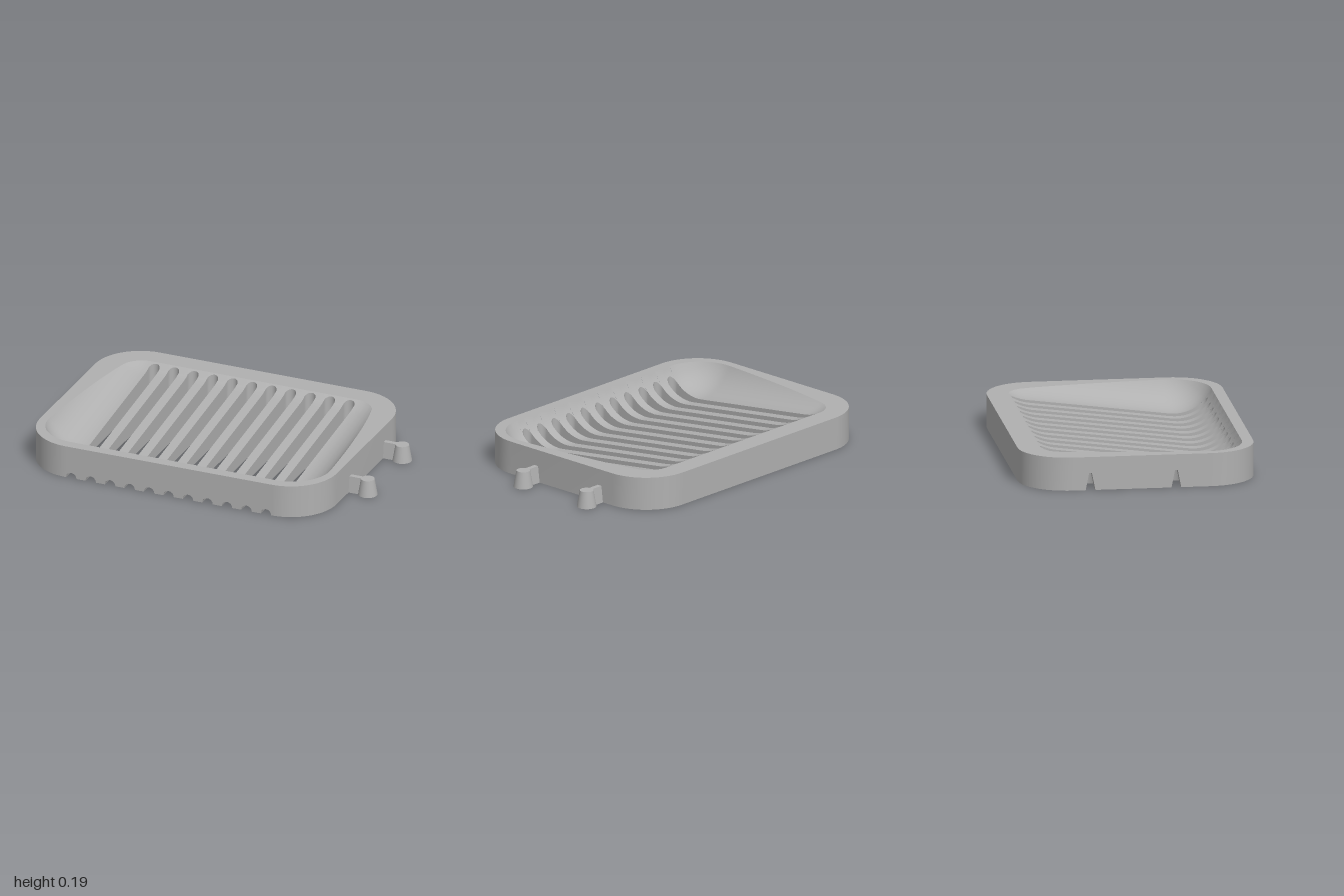
import * as THREE from 'three';
import { toCreasedNormals } from 'three/addons/utils/BufferGeometryUtils.js';

const TOP = 0.193, LEFT = -1, RIGHT = 0.835, DEPTH = 0.675, CORNER = 0.28;
const SLOT_R = 0.0325, SLOT_BACK = -0.54, SLOT_FRONT = 0.585;
const slots = Array.from({ length: 11 }, (_, i) => -0.685 + i * 0.1205);
const pegZ = [-0.295, 0.197];
const SOCKET = { x: -0.895, r: 0.06, rTop: 0.045, w: 0.028, wTop: 0.008, h: 0.1 };

// Half depth of the rounded outer outline at x
function outer(x) {
  const d = Math.max(LEFT + CORNER - x, x - (RIGHT - CORNER), 0);
  return DEPTH - CORNER + Math.sqrt(Math.max(0, CORNER * CORNER - d * d));
}

// Scooped basin: sloping flat floor with a wide round fillet on all sides
function basin(x, z) {
  const R = 0.26;
  const dx = Math.max(-0.72 - x, x - 0.555, 0);
  const dz = Math.max(-0.443 - z, z - 0.365, 0);
  const d2 = dx * dx + dz * dz;
  if (d2 >= R * R) return 1;
  return 0.05 + 0.13 * (0.375 - z) + R - Math.sqrt(R * R - d2);
}

// Where f crosses the rim height, between an inside and an outside value
function cross(f, inside, outside) {
  for (let i = 0; i < 40; i++) {
    const m = (inside + outside) / 2;
    if (f(m) < TOP) inside = m; else outside = m;
  }
  return inside;
}
const MID = 0.385;
const basinLeft = cross(x => basin(x, MID), 0, -1);
const basinRight = cross(x => basin(x, MID), 0, 0.835);
const basinBack = x => cross(z => basin(x, z), MID, -0.7);
const basinFront = x => cross(z => basin(x, z), MID, 0.7);

const bulge = (x, c) => Math.sqrt(Math.max(0, SLOT_R * SLOT_R - (x - c) ** 2));
const slotAt = x => slots.find(c => Math.abs(x - c) < SLOT_R);

// Sorted x positions that follow every curved edge
function columns() {
  const xs = [LEFT, RIGHT];
  for (let i = 0; i <= 14; i++) {
    const t = 1 - Math.cos((i / 14) * Math.PI / 2);
    xs.push(LEFT + CORNER * t, RIGHT - CORNER * t, basinLeft + 0.23 * t, basinRight - 0.23 * t);
  }
  for (let i = 0; i <= 16; i++) xs.push(SOCKET.x - SOCKET.r * Math.cos(i * Math.PI / 16));
  for (const c of slots) for (let k = -6; k <= 6; k++) xs.push(c + SLOT_R * Math.sin(k * Math.PI / 12));
  xs.sort((a, b) => a - b);
  return xs.filter((x, i) => i === 0 || x - xs[i - 1] > 1e-6);
}

function trayGeometry() {
  const pos = [];
  const v = (x, y, z) => new THREE.Vector3(x, y, z);
  const tri = (a, b, c) => {
    const area = b.clone().sub(a).cross(c.clone().sub(a)).length();
    if (area > 1e-10) for (const p of [a, b, c]) pos.push(p.x, p.y, p.z);
  };
  const quad = (a, b, c, d) => { tri(a, b, c); tri(a, c, d); };

  // Surface strip between two columns, running from za(x) to zb(x)
  function patch(x0, x1, za, zb, y, n, down = false) {
    const at = (x, t) => { const z = za(x) + (zb(x) - za(x)) * t; return v(x, y(x, z), z); };
    for (let i = 0; i < n; i++) {
      const q = [at(x0, i / n), at(x0, (i + 1) / n), at(x1, (i + 1) / n), at(x1, i / n)];
      if (down) q.reverse();
      quad(...q);
    }
  }
  // Wall along a path of [x, z, bottom, top]
  function wall(path) {
    for (let i = 0; i < path.length - 1; i++) {
      const [a, b] = [path[i], path[i + 1]];
      quad(v(a[0], a[2], a[1]), v(b[0], b[2], b[1]), v(b[0], b[3], b[1]), v(a[0], a[3], a[1]));
    }
  }

  const xs = columns();
  const front = x => outer(x), back = x => -outer(x);
  const rimY = () => TOP, zero = () => 0;
  const keyhole = x => Math.max(x < SOCKET.x ? SOCKET.w : 0,
    Math.sqrt(Math.max(0, SOCKET.r ** 2 - (x - SOCKET.x) ** 2)));

  for (let i = 0; i < xs.length - 1; i++) {
    const x0 = xs[i], x1 = xs[i + 1], m = (x0 + x1) / 2;
    const c = slotAt(m);
    const s0 = x => SLOT_BACK + SLOT_R - bulge(x, c);
    const s1 = x => SLOT_FRONT - SLOT_R + bulge(x, c);
    // Rim and basin
    if (m < basinLeft || m > basinRight) patch(x0, x1, back, front, rimY, 1);
    else {
      patch(x0, x1, back, basinBack, rimY, 1);
      patch(x0, x1, basinFront, front, rimY, 1);
      if (c === undefined) patch(x0, x1, basinBack, basinFront, basin, 48);
      else {
        patch(x0, x1, basinBack, s0, basin, 3);
        patch(x0, x1, s1, basinFront, basin, 4);
      }
    }
    // Underside with slots, drain grooves and sockets
    if (c !== undefined) {
      patch(x0, x1, back, s0, zero, 1, true);
      patch(x0, x1, s1, front, x => bulge(x, c), 1, true);
    } else if (m < SOCKET.x + SOCKET.r) {
      const [p, q] = pegZ;
      patch(x0, x1, back, x => p - keyhole(x), zero, 1, true);
      patch(x0, x1, x => p + keyhole(x), x => q - keyhole(x), zero, 1, true);
      patch(x0, x1, x => q + keyhole(x), front, zero, 1, true);
    } else patch(x0, x1, back, front, zero, 1, true);
  }

  // Outer wall, notched by the grooves in front and the sockets at the side
  const groove = x => { const c = slotAt(x); return c === undefined ? 0 : bulge(x, c); };
  const notch = z => Math.max(...pegZ.map(c => SOCKET.h *
    THREE.MathUtils.clamp((SOCKET.w - Math.abs(z - c)) / (SOCKET.w - SOCKET.wTop), 0, 1)));
  const side = pegZ.flatMap(c => [-SOCKET.w, -SOCKET.wTop, SOCKET.wTop, SOCKET.w].map(d => c + d));
  wall([
    ...xs.map(x => [x, outer(x), groove(x), TOP]),
    ...[...xs].reverse().map(x => [x, -outer(x), 0, TOP]),
    ...side.map(z => [LEFT, z, notch(z), TOP]),
    [LEFT, outer(LEFT), 0, TOP],
  ]);

  // Slot walls
  for (const c of slots) {
    const path = [], z0 = SLOT_BACK + SLOT_R, z1 = SLOT_FRONT - SLOT_R, N = 40;
    const add = (x, z, low = 0) => path.push([x, z, low, basin(x, z)]);
    for (let i = 0; i <= N; i++) add(c - SLOT_R, z1 + (z0 - z1) * i / N);
    for (let k = -5; k <= 5; k++) {
      const a = k * Math.PI / 12;
      add(c + SLOT_R * Math.sin(a), z0 - SLOT_R * Math.cos(a));
    }
    for (let i = 0; i <= N; i++) add(c + SLOT_R, z0 + (z1 - z0) * i / N);
    for (let k = 5; k >= -6; k--) {
      const a = k * Math.PI / 12, b = SLOT_R * Math.cos(a);
      add(c + SLOT_R * Math.sin(a), z1 + b, b);
    }
    wall(path);
  }

  // Keyhole sockets, narrowing upwards
  for (const c of pegZ) {
    const ring = (r, w, y) => {
      const a = Math.PI - Math.asin(w / r), pts = [v(LEFT, y, c - w)];
      for (let i = 0; i <= 24; i++) {
        const t = -a + 2 * a * i / 24;
        pts.push(v(SOCKET.x + r * Math.cos(t), y, c + r * Math.sin(t)));
      }
      return [...pts, v(LEFT, y, c + w)];
    };
    const lo = ring(SOCKET.r, SOCKET.w, 0), hi = ring(SOCKET.rTop, SOCKET.wTop, SOCKET.h);
    const hub = v(SOCKET.x, SOCKET.h, c);
    for (let i = 0; i < lo.length; i++) {
      const j = (i + 1) % lo.length;
      if (j) quad(lo[i], lo[j], hi[j], hi[i]);
      tri(hub, hi[i], hi[j]);
    }
  }

  const geo = new THREE.BufferGeometry();
  geo.setAttribute('position', new THREE.Float32BufferAttribute(pos, 3));
  return toCreasedNormals(geo, 0.3);
}

export function createModel() {
  const group = new THREE.Group();
  group.name = 'drainingDish';
  const grey = new THREE.MeshStandardMaterial({ color: 0xb0b0b0 });
  grey.name = 'grey';
  const add = (name, geo, parent) => {
    const mesh = new THREE.Mesh(geo, grey);
    mesh.name = name;
    parent.add(mesh);
    return mesh;
  };
  add('tray', trayGeometry(), group);

  // Tapered connector pegs on the side
  const H = 0.097;
  const neck = new THREE.Shape([[-0.026, 0], [0.026, 0], [0.014, H], [-0.014, H]]
    .map(p => new THREE.Vector2(...p)));
  for (const z of pegZ) {
    const peg = new THREE.Group();
    peg.name = 'connectorPeg';
    peg.position.z = z;
    add('pegHead', new THREE.CylinderGeometry(0.039, 0.056, H, 40), peg).position.set(0.943, H / 2, 0);
    const neckGeo = new THREE.ExtrudeGeometry(neck, { depth: 0.09, bevelEnabled: false }).rotateY(Math.PI / 2);
    add('pegNeck', neckGeo, peg).position.x = RIGHT - 0.003;
    group.add(peg);
  }
  return group;
}
